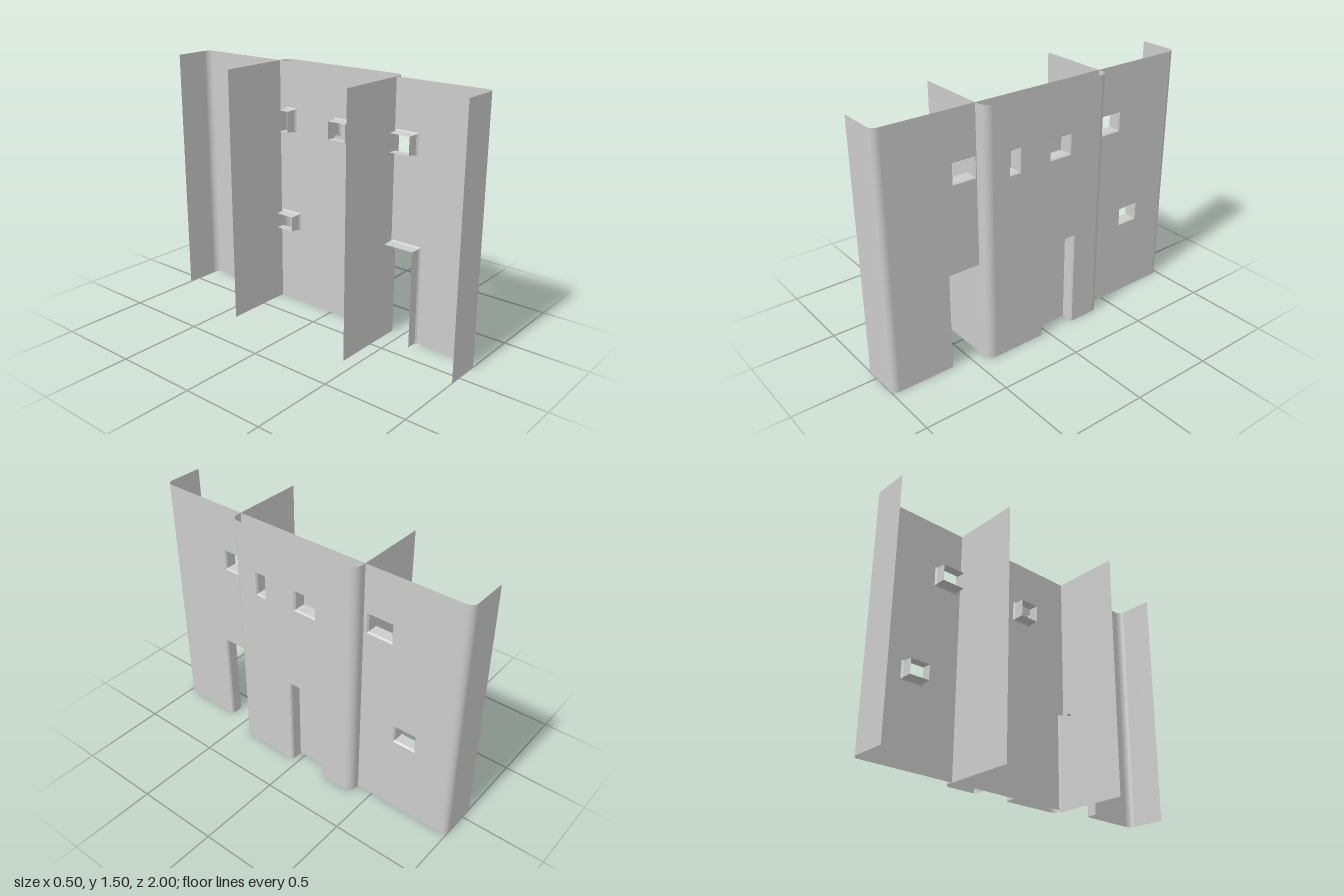
import * as THREE from 'three';

const H = 1.5, DEPTH = 0.07, LIP = 0.01;
const mat = new THREE.MeshStandardMaterial({ color: 0xcccccc, side: THREE.DoubleSide });

function add(parent, name, geo) {
  const m = new THREE.Mesh(geo, mat);
  m.name = name;
  parent.add(m);
  return m;
}

// flat facade sheet facing +x; openings are [zMin, zMax, yMin, yMax], yMin 0 means a door
function sheet(x, z0, z1, openings) {
  const s = new THREE.Shape();
  s.moveTo(-z1, 0);
  openings.filter(o => o[2] === 0).sort((a, b) => b[1] - a[1]).forEach(([a, b, , t]) => {
    s.lineTo(-b, 0); s.lineTo(-b, t); s.lineTo(-a, t); s.lineTo(-a, 0);
  });
  s.lineTo(-z0, 0); s.lineTo(-z0, H); s.lineTo(-z1, H); s.closePath();
  openings.filter(o => o[2] > 0).forEach(([a, b, y, t]) => {
    const h = new THREE.Path();
    h.moveTo(-b, y); h.lineTo(-b, t); h.lineTo(-a, t); h.lineTo(-a, y); h.closePath();
    s.holes.push(h);
  });
  return new THREE.ShapeGeometry(s).rotateY(Math.PI / 2).translate(x, 0, 0);
}

// lining of an opening: rings with a softened front lip, left open below for doors
function reveal(x, [a, b, y, t]) {
  const door = y === 0, pos = [];
  const rings = [[x, 0], [x - LIP, LIP * 0.75], [x - DEPTH, LIP]].map(([px, i]) => {
    const low = door ? 0 : y + i;
    return [[px, low, b - i], [px, t - i, b - i], [px, t - i, a + i], [px, low, a + i]];
  });
  for (let r = 0; r < 2; r++) {
    for (let k = 0; k < (door ? 3 : 4); k++) {
      const n = (k + 1) % 4;
      const p = rings[r][k], q = rings[r][n], u = rings[r + 1][n], v = rings[r + 1][k];
      pos.push(...p, ...u, ...q, ...p, ...v, ...u);
    }
  }
  const g = new THREE.BufferGeometry();
  g.setAttribute('position', new THREE.Float32BufferAttribute(pos, 3));
  g.computeVertexNormals();
  return g;
}

// wall running along x at a given z
function sideWall(x0, x1, z) {
  const g = new THREE.PlaneGeometry(x1 - x0, H);
  if (z < 0) g.rotateY(Math.PI);
  return g.translate((x0 + x1) / 2, H / 2, z);
}

// quarter-round vertical edge between a facade at x and a wall at z
function corner(x, z, r) {
  const s = Math.sign(z);
  return new THREE.CylinderGeometry(r, r, H, 12, 1, true, s > 0 ? 0 : Math.PI / 2, Math.PI / 2)
    .translate(x - r, H / 2, z - s * r);
}

// facade with rounded ends, returns and lined openings
function facade(name, x, z0, z1, r, backX, openings) {
  const g = new THREE.Group();
  g.name = name;
  add(g, 'facadeSheet', sheet(x, z0 + r, z1 - r, openings));
  for (const z of [z0, z1]) {
    add(g, 'roundedEdge', corner(x, z, r));
    add(g, 'returnWall', sideWall(backX, x - r, z));
  }
  openings.forEach(o => add(g, o[2] === 0 ? 'doorReveal' : 'windowReveal', reveal(x, o)));
  return g;
}

export function createModel() {
  const model = new THREE.Group();
  model.name = 'houseFronts';

  // long rear facade
  model.add(facade('mainFacade', 0.175, -1, 1, 0.04, -0.07, [
    [0.38, 0.62, 0, 0.585],
    [0.43, 0.575, 1.095, 1.22],
    [0.01, 0.15, 1.095, 1.22],
    [-0.355, -0.275, 1.085, 1.23],
    [-0.385, -0.245, 0.475, 0.585],
    [-0.58, -0.42, 1.1, 1.22],
    [-0.76, -0.62, 0.475, 0.585],
  ]));

  // projecting middle bay
  model.add(facade('middleBay', 0.25, -0.4, 0.425, 0.05, 0.175, [
    [-0.19, 0.045, 0, 0.585],
    [-0.145, 0, 1.095, 1.22],
    [0.2, 0.27, 1.085, 1.23],
  ]));

  // deep party walls behind the facade
  for (const z of [0.425, -0.4]) add(model, 'partyWall', sideWall(-0.25, 0.175, z));

  return model;
}
